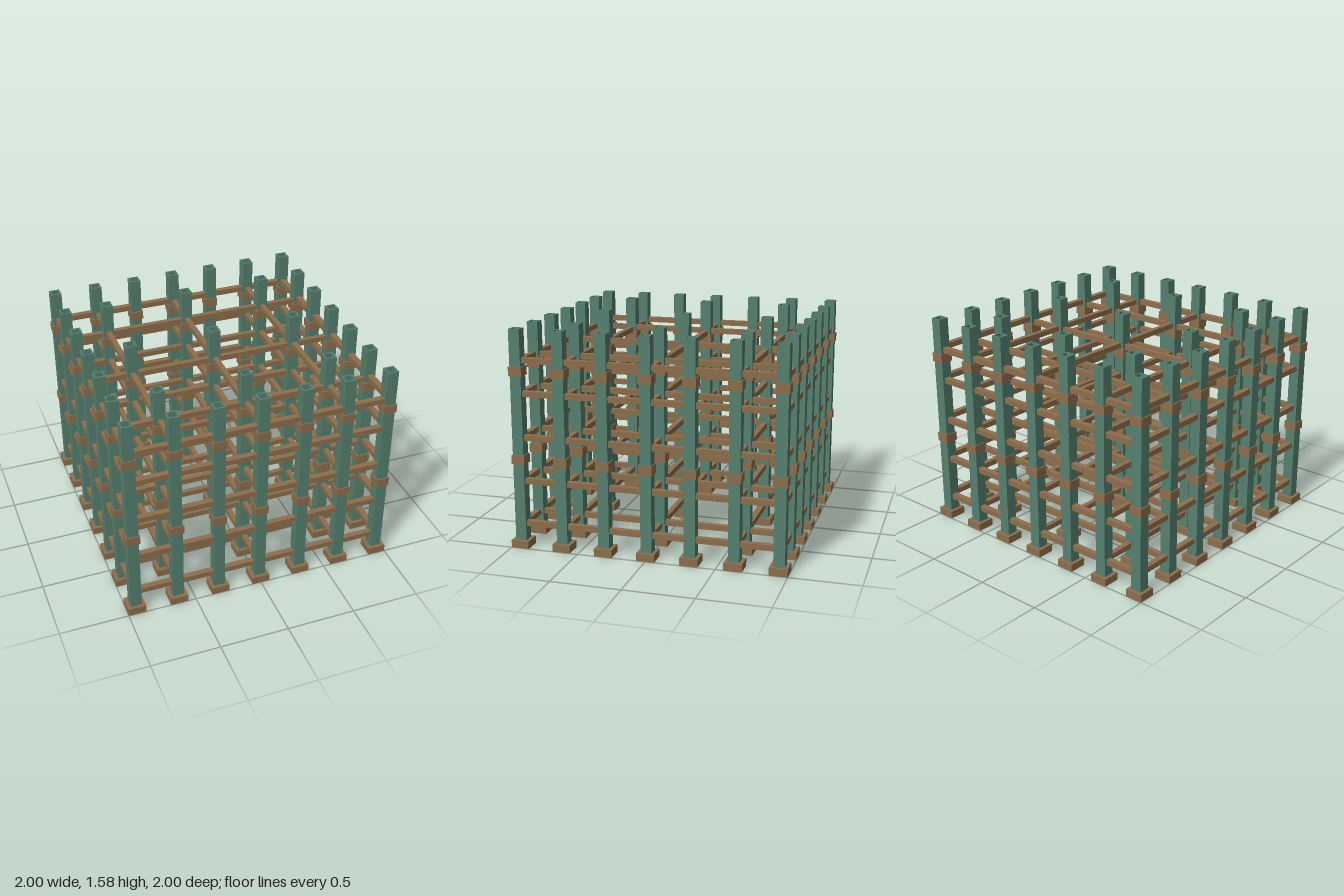
import * as THREE from 'three';

export function createModel() {
  const model = new THREE.Group();
  const green = new THREE.MeshStandardMaterial({ color: 0x55806f });
  green.name = 'green';
  const brown = new THREE.MeshStandardMaterial({ color: 0x8e6e4c });
  brown.name = 'brown';

  function add(name, geometry, material, x, y, z) {
    const mesh = new THREE.Mesh(geometry, material);
    mesh.name = name;
    mesh.position.set(x, y, z);
    model.add(mesh);
  }

  // Square tube standing on y = 0
  function squareTube(outer, inner, height) {
    const square = (Kind, r) => new Kind([[-r, -r], [r, -r], [r, r], [-r, r]].map(([x, y]) => new THREE.Vector2(x, y)));
    const shape = square(THREE.Shape, outer / 2);
    shape.holes.push(square(THREE.Path, inner / 2));
    return new THREE.ExtrudeGeometry(shape, { depth: height, bevelEnabled: false }).rotateX(-Math.PI / 2);
  }

  const edge = 0.935;
  const lines = [-edge, -0.622, -0.311, 0, 0.311, 0.622, edge];
  const beamLines = [-edge, -0.622, 0, 0.622, edge];
  const footGeometry = new THREE.BoxGeometry(0.13, 0.055, 0.13);
  const postGeometry = squareTube(0.08, 0.056, 1.525);
  const collarGeometry = squareTube(0.097, 0.079, 0.065);

  // Hollow posts with feet and collars: all around the edge, plus the inner grid
  for (const x of lines) {
    for (const z of lines) {
      const onEdge = Math.abs(x) === edge || Math.abs(z) === edge;
      if (!onEdge && !(beamLines.includes(x) && beamLines.includes(z))) continue;
      add('foot', footGeometry, brown, x, 0.0275, z);
      add('post', postGeometry, green, x, 0.053, z);
      for (const y of [0.618, 1.25]) add('collar', collarGeometry, brown, x, y, z);
    }
  }

  // Five levels of beams in both directions, inner ones slightly lower
  const levels = [0.156, 0.47, 0.786, 1.101, 1.337];
  for (const y of levels) {
    for (const p of beamLines) {
      const outer = Math.abs(p) === edge;
      const width = outer ? 0.043 : 0.038;
      const shift = outer ? 0.007 : -0.007;
      const length = 2 * edge;
      add('crossBeam', new THREE.BoxGeometry(length, 0.04, width), brown, 0, y + shift, p);
      add('lengthBeam', new THREE.BoxGeometry(width, 0.04, length), brown, p, y + shift + 0.014, 0);
    }
  }

  return model;
}
